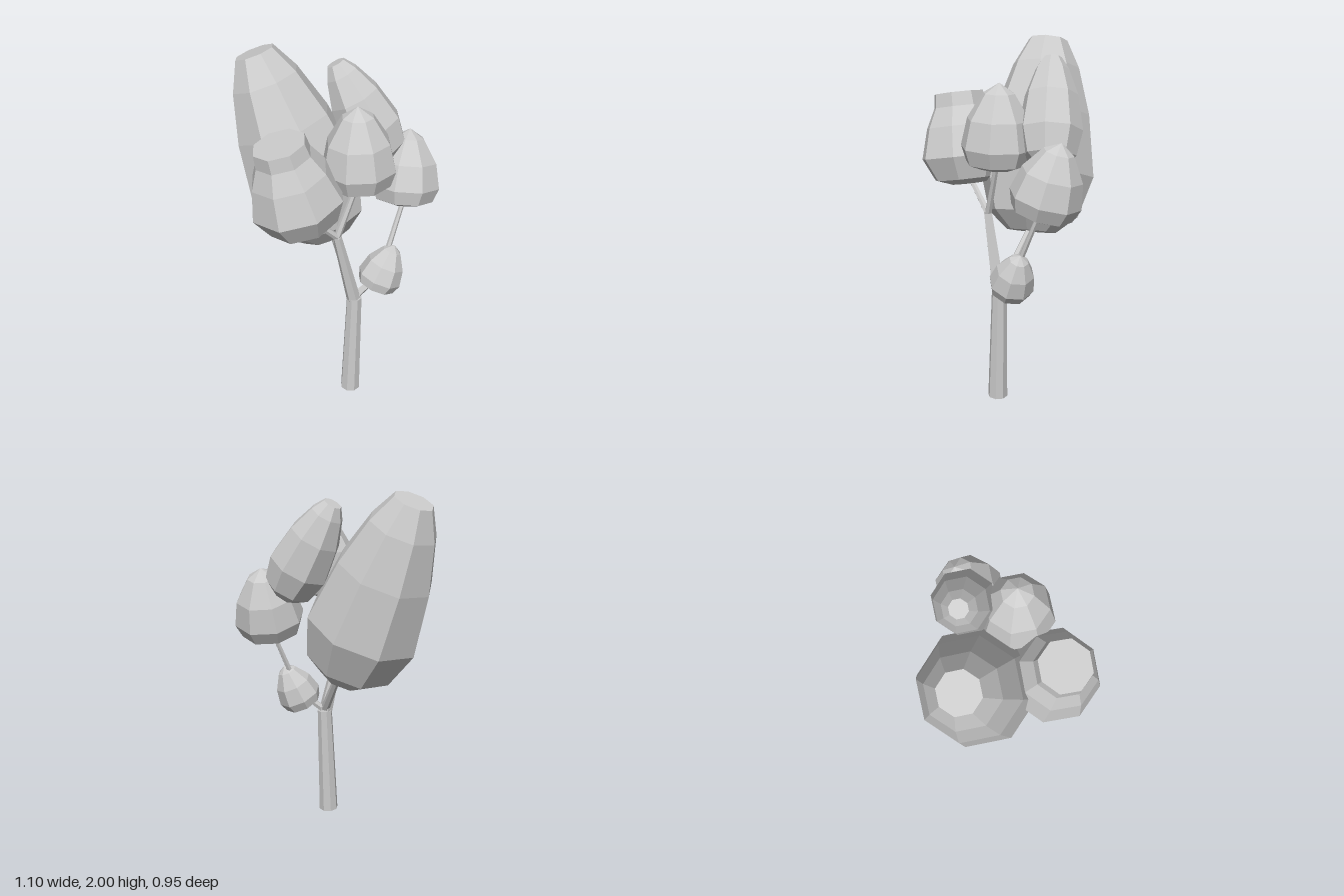
import * as THREE from 'three';

const UP = new THREE.Vector3(0, 1, 0);

export function createModel() {
  const group = new THREE.Group();
  group.name = 'tree';
  const material = new THREE.MeshStandardMaterial({ color: 0xcccccc, flatShading: true });

  // Places a mesh at its base point with its y axis turned towards the tip
  const place = (name, geometry, base, axis) => {
    const mesh = new THREE.Mesh(geometry, material);
    mesh.name = name;
    mesh.position.copy(base);
    mesh.quaternion.setFromUnitVectors(UP, axis.clone().normalize());
    group.add(mesh);
  };

  // Eight-sided crown; profile is [radius, fraction of the length], bottom to top
  const crown = (name, from, to, profile) => {
    const base = new THREE.Vector3(...from);
    const axis = new THREE.Vector3(...to).sub(base);
    const length = axis.length();
    const points = [[0, 0], ...profile].map(([r, t]) => new THREE.Vector2(r, t * length));
    if (points[points.length - 1].x > 0) points.push(new THREE.Vector2(0, length));
    place(name, new THREE.LatheGeometry(points, 8), base, axis);
  };

  // Tapered limb between two points
  const limb = (name, from, to, r0, r1, sides = 6) => {
    const base = new THREE.Vector3(...from);
    const axis = new THREE.Vector3(...to).sub(base);
    const geometry = new THREE.CylinderGeometry(r1, r0, axis.length(), sides);
    geometry.translate(0, axis.length() / 2, 0);
    place(name, geometry, base, axis);
  };

  // Pointed crown shape shared by the three bud-like crowns
  const bud = (r) => [[r * 0.5, 0], [r * 0.85, 0.06], [r, 0.25], [r * 0.84, 0.58], [r * 0.42, 0.88], [0, 1]];

  // Trunk and branches
  const fork = [0.028, 0.65, 0.22];
  const upperFork = [-0.08, 1.08, 0.22];
  limb('trunk', [0.005, 0, 0.225], [0.027, 0.65, 0.22], 0.056, 0.043, 8);
  limb('mainBranch', [0.025, 0.63, 0.22], upperFork, 0.04, 0.025);
  limb('leftBranch', upperFork, [-0.26, 1.26, 0.23], 0.02, 0.014);
  limb('middleBranch', upperFork, [0.035, 1.4, 0.23], 0.02, 0.014);
  limb('backBranch', fork, [-0.01, 1.0, -0.03], 0.026, 0.018);
  limb('lowBranch', fork, [0.16, 0.76, 0.235], 0.022, 0.016);
  limb('rightBranch', [0.18, 0.78, 0.235], [0.345, 1.19, 0.17], 0.017, 0.013);

  // Flat-topped crowns
  crown('tallBackCrown', [-0.025, 0.945, -0.03], [-0.3, 1.958, -0.335],
    [[0.14, 0], [0.255, 0.09], [0.325, 0.3], [0.27, 0.62], [0.19, 0.86], [0.11, 1]]);
  crown('leftCrown', [-0.265, 1.213, 0.23], [-0.39, 1.7, 0.21],
    [[0.1, 0], [0.19, 0.06], [0.253, 0.31], [0.205, 0.64], [0.15, 0.85], [0.14, 1]]);
  crown('upperRightCrown', [0.285, 1.41, 0.07], [0.06, 1.923, -0.107],
    [[0.08, 0], [0.14, 0.09], [0.172, 0.32], [0.142, 0.65], [0.09, 0.89], [0.05, 1]]);

  // Pointed crowns
  crown('middleCrown', [0.04, 1.37, 0.232], [0.035, 1.82, 0.212], bud(0.2));
  crown('rightCrown', [0.34, 1.165, 0.165], [0.412, 1.56, 0.085], bud(0.194));
  crown('smallLowCrown', [0.145, 0.69, 0.235], [0.262, 0.942, 0.235], bud(0.125));

  return group;
}
